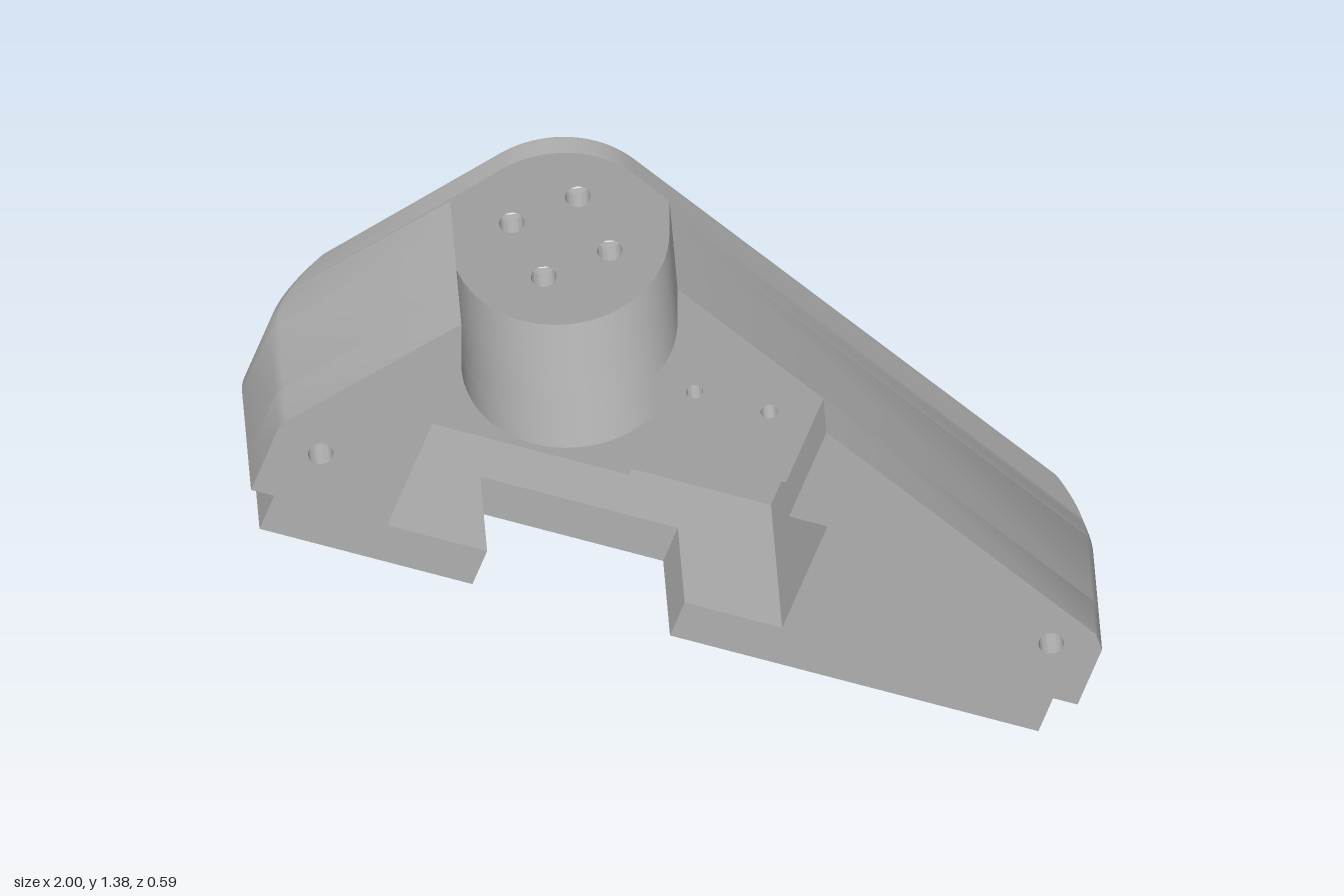
import * as THREE from 'three';
import { toCreasedNormals } from 'three/addons/utils/BufferGeometryUtils.js';

// The housing is drawn in a local frame (u along its base, v upward) and tilted 20 degrees at the end.
const TILT = THREE.MathUtils.degToRad(20);
const COS = Math.cos(TILT), SIN = Math.sin(TILT);
const local = (x, y) => [x * COS - y * SIN, x * SIN + y * COS];
const rad = THREE.MathUtils.degToRad;

const U0 = -1.207, U1 = 0.858, V0 = 0.396;           // body ends and underside
const BACK = -0.293, FRONT = 0.293;
const ROUND = 0.2, ROUND_Z = BACK + ROUND;           // rounded back corners
const BORE_Z = -0.2406, FLOOR = -0.19, LEDGE = 0.16; // bore seat, pocket floor, upper channel floor
const RECT = { u0: -0.867, u1: 0.12, top: 0.707 };   // rectangular pocket
const BORE = 0.055, BORE_V = 0.545, BORE_INSET = 0.12;
const [CU, CV] = local(-0.245, 1.13);                // centre of the rounded peak
const PEAK = 0.25, RIGHT = rad(65.8), LEFT = rad(143.8);

const endInset = z => z > ROUND_Z ? 0 : ROUND - Math.sqrt(Math.max(0, ROUND ** 2 - (z - ROUND_Z) ** 2));
const chamfer = z => Math.max(0, -0.25325 - z);

// Height of a sloping top edge at u
const slope = (angle, u, c) => CV + (PEAK - c - (u - CU) * Math.cos(angle)) / Math.sin(angle);

// Wall of the round motor pocket, from one angle down and round to the left side
function pocketArc(fromDeg) {
  const pts = [];
  for (let i = 0; i <= 32; i++) {
    const t = rad(fromDeg + (-180 - fromDeg) * i / 32);
    pts.push(local(-0.2475 + 0.2575 * Math.cos(t), 1.135 + 0.2575 * Math.sin(t)));
  }
  return [...pts, local(-0.505, 1.249)];
}

// Bite which a corner bore takes out of a rounded end (s = 1 right, -1 left)
function bite(s, uEnd) {
  const uh = s > 0 ? U1 - BORE_INSET : U0 + BORE_INSET;
  const limit = s * (uEnd - uh);
  const th = Math.acos(THREE.MathUtils.clamp(limit / BORE, -1, 1));
  const pts = [];
  for (let i = 0; i <= 24; i++) {
    const f = -s * (th + (2 * Math.PI - 2 * th) * i / 24);
    pts.push([uh + s * Math.min(BORE * Math.cos(f), limit), BORE_V + BORE * Math.sin(f)]);
  }
  return pts;
}

function rightEnd(a, c, bored) {
  const u = U1 - a, cut = bored ? bite(1, u) : [];
  const low = bored ? cut[24][1] + 0.003 : 0;
  return [[u, V0], ...cut, [u, Math.max(slope(RIGHT, u, c) - 0.025, low)],
    [u - 0.03, slope(RIGHT, u - 0.03, c)]];
}

function leftEnd(a, c, bored) {
  const u = U0 + a;
  return [[u + 0.012, slope(LEFT, u + 0.012, c)], [u, slope(LEFT, u, c) - 0.012],
    ...(bored ? bite(-1, u) : []), [u, V0]];
}

// Full outline with pockets (middle of the body)
const pocketRing = (a, c) => [
  [RECT.u0, V0], [RECT.u0, RECT.top], [RECT.u1, RECT.top], [RECT.u1, V0],
  ...rightEnd(a, c), local(0.01, 1.232), ...pocketArc(0), ...leftEnd(a, c)];

// Full outline without pockets (back plate)
function plateRing(a, c, bored) {
  const peak = [];
  for (let i = 0; i <= 20; i++) {
    const t = RIGHT + (LEFT - RIGHT) * i / 20;
    peak.push([CU + (PEAK - c) * Math.cos(t), CV + (PEAK - c) * Math.sin(t)]);
  }
  return [...rightEnd(a, c, bored), ...peak, ...leftEnd(a, c, bored)];
}

// Extrude a ring between two depths, reshaping the outer edge at each step
function layer(ring, z0, z1, steps, baseInset, holes = []) {
  const base = ring(baseInset, 0);
  const shape = new THREE.Shape(base.map(p => new THREE.Vector2(...p)));
  for (const [u, v, r] of holes) {
    shape.holes.push(new THREE.Path().absarc(u, v, r, 0, Math.PI * 2, true));
  }
  const geo = new THREE.ExtrudeGeometry(shape, { depth: z1 - z0, steps, bevelEnabled: false, curveSegments: 24 });
  geo.translate(0, 0, z0);
  const pos = geo.attributes.position;
  const rings = new Map();
  for (let i = 0; i < pos.count; i++) {
    const x = pos.getX(i), y = pos.getY(i), z = pos.getZ(i), key = z.toFixed(4);
    const k = base.findIndex(p => Math.abs(p[0] - x) < 1e-4 && Math.abs(p[1] - y) < 1e-4);
    if (k < 0) continue;
    if (!rings.has(key)) rings.set(key, ring(endInset(z), chamfer(z)));
    pos.setXY(i, ...rings.get(key)[k]);
  }
  return toCreasedNormals(geo, 0.5);
}

export function createModel() {
  const grey = new THREE.MeshStandardMaterial({ color: 0xb0b0b0 });
  grey.name = 'light grey';
  const housing = new THREE.Group();
  housing.name = 'housing';
  const add = (name, geo) => {
    const mesh = new THREE.Mesh(geo, grey);
    mesh.name = name;
    housing.add(mesh);
  };

  // Hole positions
  const corner = r => [[U0 + BORE_INSET, BORE_V, r], [U1 - BORE_INSET, BORE_V, r]];
  const motor = r => [[-0.36, 1.18], [-0.205, 1.25], [-0.13, 1.09], [-0.285, 1.02]]
    .map(p => [...local(...p), r]);
  const pilot = [[0.05, 0.93], [0.225, 0.865]].map(p => [...local(...p), 0.02]);

  // Back plate: counterbored outer half, then inner half with the through holes
  add('backPlateOuter', layer((a, c) => plateRing(a, c, true), BACK, BORE_Z, 8, 0.1, motor(0.052)));
  add('backPlateInner', layer((a, c) => plateRing(a, c, false), BORE_Z, FLOOR, 6, 0.04,
    [...motor(0.03), ...corner(BORE)]));

  // Pocketed body: rounded rear part, then straight part
  add('bodyRear', layer(pocketRing, FLOOR, ROUND_Z, 8, 0, corner(0.03)));
  add('bodyMiddle', layer(pocketRing, ROUND_Z, LEDGE, 1, 0, [...corner(0.03), ...pilot]));

  // Front walls on either side of the upper channel
  const [leftHole, rightHole] = corner(0.03);
  add('frontWallLeft', layer((a, c) => [[RECT.u0, V0], [RECT.u0, RECT.top], [-0.376, RECT.top],
    ...pocketArc(-40), ...leftEnd(a, c)], LEDGE, FRONT, 1, 0, [leftHole]));
  add('frontWallRight', layer((a, c) => [[RECT.u1, V0], ...rightEnd(a, c),
    [0.024, slope(RIGHT, 0.024, c)], [0.024, RECT.top], [RECT.u1, RECT.top]], LEDGE, FRONT, 1, 0, [rightHole]));

  // Inset lip under the body, with the cable channel open to the front
  const lip = new THREE.Shape();
  lip.moveTo(-1.149, -FRONT);
  for (const p of [[-0.617, -FRONT], [-0.617, 0], [-0.1235, 0], [-0.1235, -FRONT], [0.797, -FRONT]]) {
    lip.lineTo(...p);
  }
  lip.absarc(0.677, 0.115, 0.12, 0, Math.PI / 2);
  lip.absarc(-1.029, 0.115, 0.12, Math.PI / 2, Math.PI);
  const lipGeo = new THREE.ExtrudeGeometry(lip, { depth: V0 - 0.295, bevelEnabled: false });
  lipGeo.rotateX(-Math.PI / 2).translate(0, 0.295, 0);
  add('lowerLip', toCreasedNormals(lipGeo, 0.5));

  housing.rotation.z = -TILT;
  const model = new THREE.Group();
  model.name = 'motorHousing';
  model.add(housing);
  return model;
}
